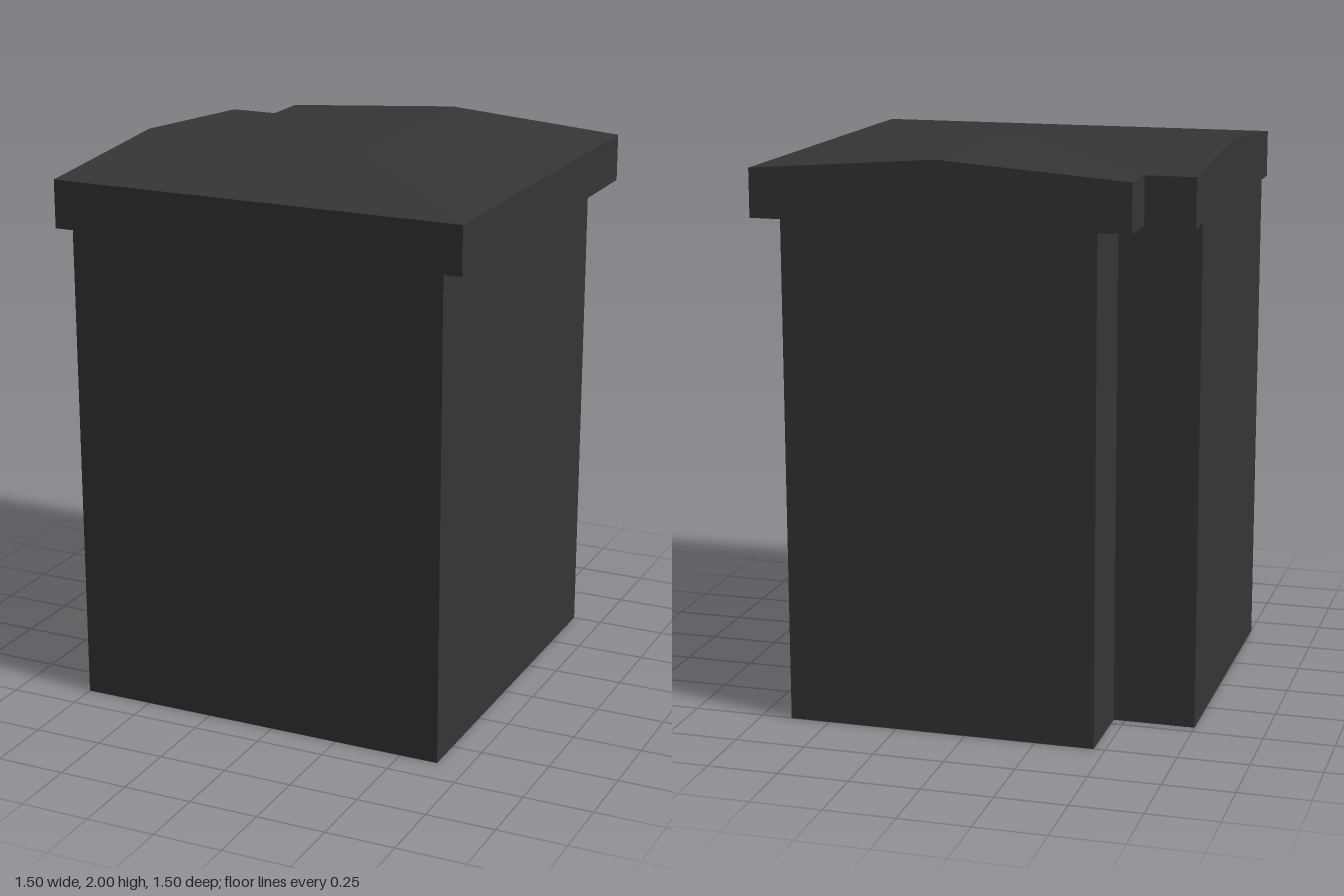
import * as THREE from 'three';

const X = 0.75, Z = 0.752;      // outer extents
const BODY = 0.64, EAVE_IN = -0.575, BODY_IN = -0.46, RIDGE = 0.09;
const Y_SOFFIT = 1.78, Y_EAVE = 1.95, Y_RIDGE = 2;

// Flat-sided geometry from polygons of [x, y, z] corners (convex, fan-cut)
function facets(polygons) {
  const positions = [];
  for (const p of polygons)
    for (let i = 1; i < p.length - 1; i++) positions.push(...p[0], ...p[i], ...p[i + 1]);
  const g = new THREE.BufferGeometry();
  g.setAttribute('position', new THREE.Float32BufferAttribute(positions, 3));
  g.computeVertexNormals();
  return g;
}

// L-shaped plan, anticlockwise from above: outer corner side and inner notch
const plan = (outer, inner) => [
  [-X, outer], [outer, outer], [outer, -Z], [inner, -Z], [inner, inner], [-X, inner],
];

// Vertical walls following a plan
const walls = (outline, y0, y1) => facets(outline.map(([x, z], i) => {
  const [x2, z2] = outline[(i + 1) % outline.length];
  return [[x, y0, z], [x2, y0, z2], [x2, y1, z2], [x, y1, z]];
}));

export function createModel() {
  const group = new THREE.Group();
  const charcoal = new THREE.MeshStandardMaterial({ color: 0x363636, side: THREE.DoubleSide });
  charcoal.name = 'charcoal';
  const add = (name, geometry) => {
    const mesh = new THREE.Mesh(geometry, charcoal);
    mesh.name = name;
    group.add(mesh);
  };

  // Hollow corner body, open underneath
  add('bodyWalls', walls(plan(BODY, BODY_IN), 0, Y_SOFFIT));

  // Overhanging eave band
  const eave = plan(X, EAVE_IN);
  add('eaveBand', walls(eave, Y_SOFFIT, Y_EAVE));

  // Soffits: downward strips between the body and the eave
  const soffit = (a, b) => facets([
    [[-X, a], [a, a], [b, b], [-X, b]],
    [[a, a], [a, -Z], [b, -Z], [b, b]],
  ].map((quad) => quad.map(([x, z]) => [x, Y_SOFFIT, z])));
  add('outerSoffit', soffit(BODY, X));
  add('notchSoffit', soffit(EAVE_IN, BODY_IN));

  // Hipped roof with two ridges, a hip and a valley
  const [sw, se, ne, p, q, r] = eave.map(([x, z]) => [x, Y_EAVE, z]);
  const apex = [RIDGE, Y_RIDGE, RIDGE];
  const west = [-X, Y_RIDGE, RIDGE];
  const north = [RIDGE, Y_RIDGE, -Z];
  add('roof', facets([
    [west, sw, se, apex], [apex, se, ne, north],
    [north, p, q, apex], [west, apex, q, r],
  ]));
  add('gableEnds', facets([[sw, west, r], [p, north, ne]]));

  return group;
}
